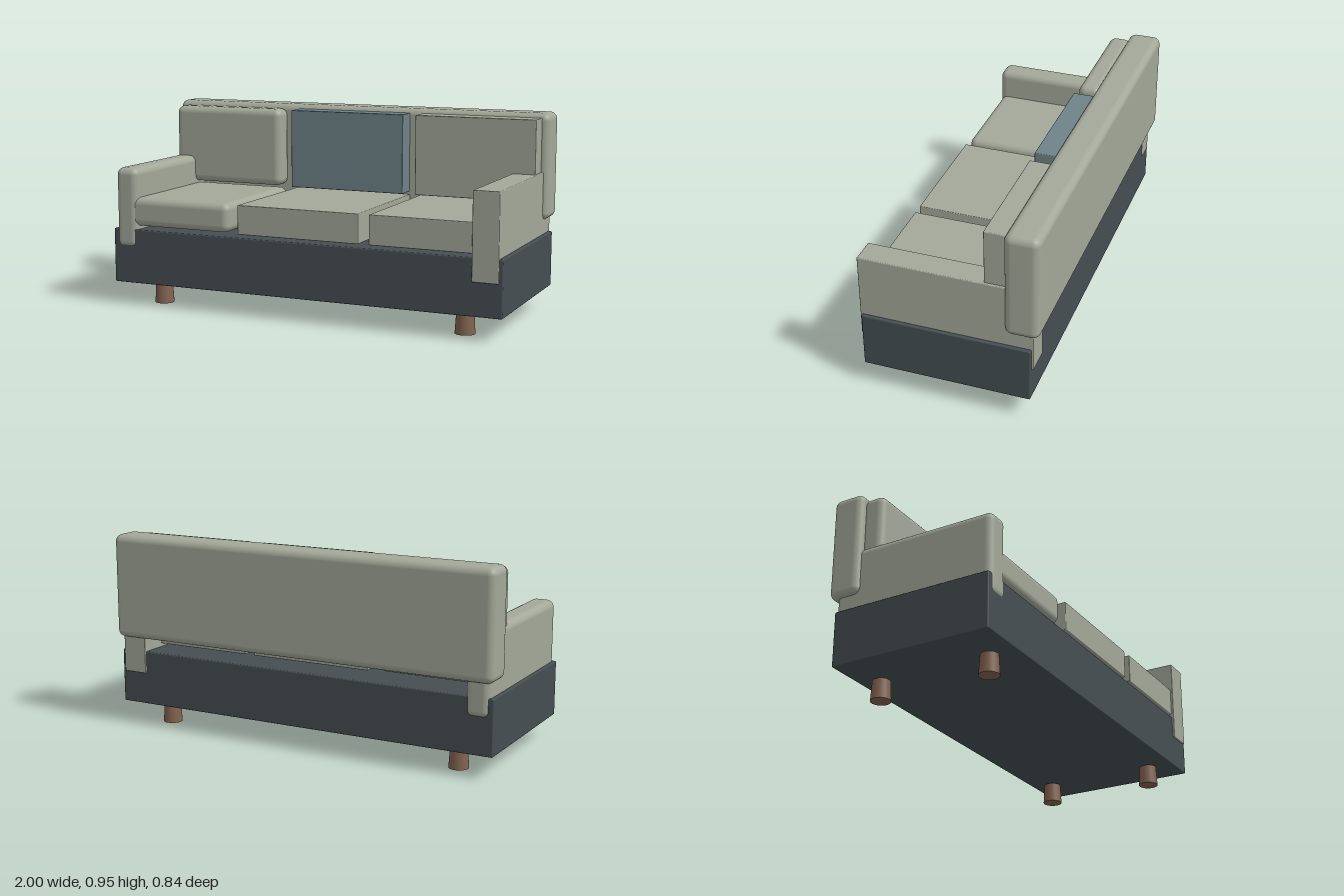
import * as THREE from 'three';
import { RoundedBoxGeometry } from 'three/addons/geometries/RoundedBoxGeometry.js';

const material = (name, color) => {
  const m = new THREE.MeshStandardMaterial({ color });
  m.name = name;
  return m;
};

export function createModel() {
  const sofa = new THREE.Group();
  sofa.name = 'sofa';
  const fabric = material('sage fabric', 0xa3a899);
  const accent = material('blue fabric', 0x6f8388);
  const dark = material('charcoal base', 0x454e52);
  const wood = material('brown wood', 0x80624e);

  // Rounded block given by its extents on each axis
  const block = (name, mat, [x0, x1], [y0, y1], [z0, z1], radius) => {
    const geometry = new RoundedBoxGeometry(x1 - x0, y1 - y0, z1 - z0, 4, radius);
    const mesh = new THREE.Mesh(geometry, mat);
    mesh.name = name;
    mesh.position.set((x0 + x1) / 2, (y0 + y1) / 2, (z0 + z1) / 2);
    sofa.add(mesh);
  };

  // Plinth and backrest
  block('base', dark, [-0.992, 0.992], [0.108, 0.374], [-0.38, 0.41], 0.006);
  block('backrest', fabric, [-1, 1], [0.443, 0.953], [-0.42, -0.26], 0.035);

  // Arms: the one on the right is soft, the one on the left is crisp
  block('rightArm', fabric, [-0.977, -0.858], [0.278, 0.674], [-0.39, 0.415], 0.035);
  block('leftArm', fabric, [0.851, 0.975], [0.265, 0.673], [-0.39, 0.42], 0.004);

  // Seat cushions
  const seatY = [0.39, 0.53], seatZ = [-0.25, 0.408];
  block('rightSeat', fabric, [-0.965, -0.362], seatY, seatZ, 0.035);
  block('middleSeat', fabric, [-0.31, 0.306], seatY, seatZ, 0.004);
  block('leftSeat', fabric, [0.358, 0.965], seatY, seatZ, 0.004);

  // Back cushions
  const backY = [0.542, 0.931], backZ = [-0.275, -0.163];
  block('rightBackCushion', fabric, [-0.968, -0.368], backY, backZ, 0.035);
  block('middleBackCushion', accent, [-0.303, 0.297], backY, backZ, 0.004);
  block('leftBackCushion', fabric, [0.362, 0.963], backY, backZ, 0.004);

  // Tapered legs
  const legGeometry = new THREE.CylinderGeometry(0.041, 0.047, 0.096, 24);
  for (const x of [-0.783, 0.783]) {
    for (const z of [0.292, -0.262]) {
      const leg = new THREE.Mesh(legGeometry, wood);
      leg.name = 'leg';
      leg.position.set(x, 0.048, z);
      sofa.add(leg);
    }
  }
  return sofa;
}
